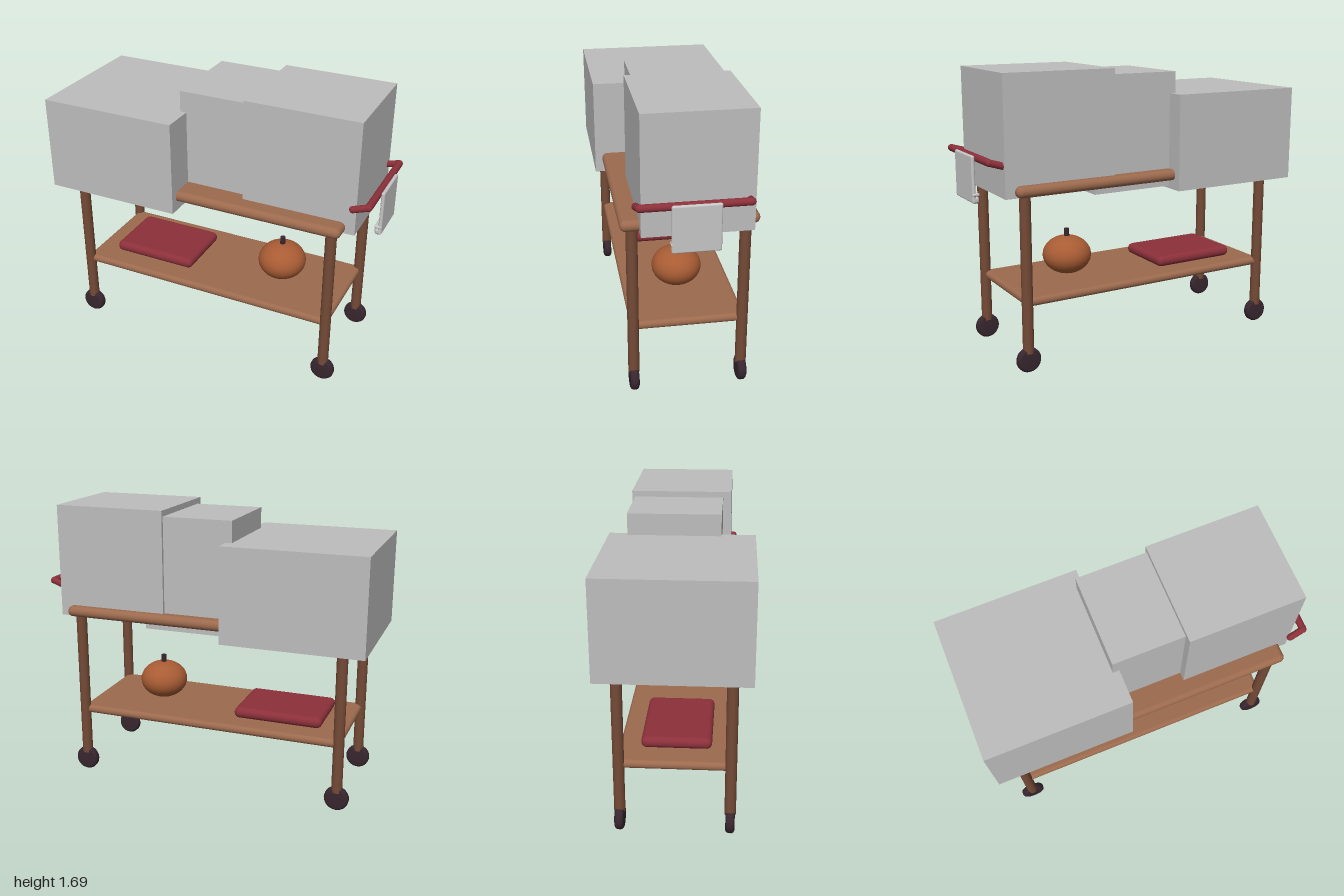
import * as THREE from 'three';
import { RoundedBoxGeometry } from 'three/addons/geometries/RoundedBoxGeometry.js';

const paint = (name, color) => {
  const m = new THREE.MeshStandardMaterial({ color });
  m.name = name;
  return m;
};

export function createModel() {
  const cart = new THREE.Group();
  cart.name = 'servingCart';

  const boardWood = paint('boardWood', 0x9c6a4e);
  const legWood = paint('legWood', 0x744a36);
  const red = paint('red', 0x8c303a);
  const orange = paint('pumpkinOrange', 0xa85c34);
  const dark = paint('darkPlum', 0x38262f);
  const grey = paint('boxGrey', 0xbdbdbd);
  const cloth = paint('clothGrey', 0xc6c6c6);

  const add = (name, geometry, material, x = 0, y = 0, z = 0) => {
    const mesh = new THREE.Mesh(geometry, material);
    mesh.name = name;
    mesh.position.set(x, y, z);
    cart.add(mesh);
    return mesh;
  };
  // Boxes are given by their lower and upper corners
  const span = (name, material, [x0, y0, z0], [x1, y1, z1], radius = 0) => {
    const size = [x1 - x0, y1 - y0, z1 - z0];
    const geometry = radius
      ? new RoundedBoxGeometry(...size, 4, radius)
      : new THREE.BoxGeometry(...size);
    return add(name, geometry, material, (x0 + x1) / 2, (y0 + y1) / 2, (z0 + z1) / 2);
  };
  // Round-ended rod between two points
  const rod = (name, material, a, b, radius) => {
    const from = new THREE.Vector3(...a), to = new THREE.Vector3(...b);
    const along = to.clone().sub(from);
    const mesh = add(name, new THREE.CapsuleGeometry(radius, along.length(), 6, 16), material);
    mesh.position.copy(from).add(to).multiplyScalar(0.5);
    mesh.quaternion.setFromUnitVectors(new THREE.Vector3(0, 1, 0), along.normalize());
    return mesh;
  };

  // Table top and lower shelf
  span('tableTop', boardWood, [-0.92, 1.02, -0.378], [0.835, 1.085, 0.378], 0.032);
  span('lowerShelf', boardWood, [-0.865, 0.385, -0.325], [0.78, 0.435, 0.325], 0.024);

  // Legs and wheels
  const wheelProfile = [[0, -0.026], [0.056, -0.026], [0.067, -0.02], [0.0725, -0.01],
    [0.0725, 0.01], [0.067, 0.02], [0.056, 0.026], [0, 0.026]].map(p => new THREE.Vector2(...p));
  const wheelGeometry = new THREE.LatheGeometry(wheelProfile, 28).rotateX(Math.PI / 2);
  const legGeometry = new THREE.CylinderGeometry(0.032, 0.032, 0.92, 20);
  for (const x of [-0.855, 0.77]) {
    for (const z of [-0.31, 0.31]) {
      add('leg', legGeometry, legWood, x, 0.575, z);
      add('wheel', wheelGeometry, dark, x, 0.0725, z);
    }
  }

  // Boxes on the table top
  span('largeBox', grey, [-1, 0.965, -0.42], [-0.165, 1.53, 0.42]);
  span('middleBox', grey, [-0.203, 0.98, -0.312], [0.337, 1.655, 0.225]);
  span('tallBox', grey, [0.215, 1.018, -0.33], [0.89, 1.69, 0.275]);

  // Red cushion and pumpkin on the shelf
  span('cushion', red, [-0.72, 0.433, -0.2], [-0.178, 0.5, 0.2], 0.032);
  add('pumpkin', new THREE.SphereGeometry(0.147, 32, 20), orange, 0.363, 0.557, 0).scale.y = 0.79;
  add('pumpkinStem', new THREE.CylinderGeometry(0.015, 0.017, 0.065, 12), dark, 0.363, 0.685, 0);

  // Push handle
  rod('handleBar', red, [0.96, 1.218, -0.29], [0.96, 1.218, 0.29], 0.021);
  for (const side of [-1, 1]) {
    rod('handleArm', red, [0.96, 1.218, side * 0.29], [0.877, 1.193, side * 0.3], 0.02);
  }

  // Towel hanging over the handle, with a thicker folded hem
  span('towel', cloth, [0.979, 0.968, -0.131], [1, 1.235, 0.131], 0.01);
  span('towelHem', cloth, [0.958, 0.965, -0.131], [0.998, 1.005, 0.131], 0.016);
  span('towelBand', cloth, [0.958, 1.007, -0.135], [0.999, 1.025, 0.135], 0.008);

  return cart;
}
